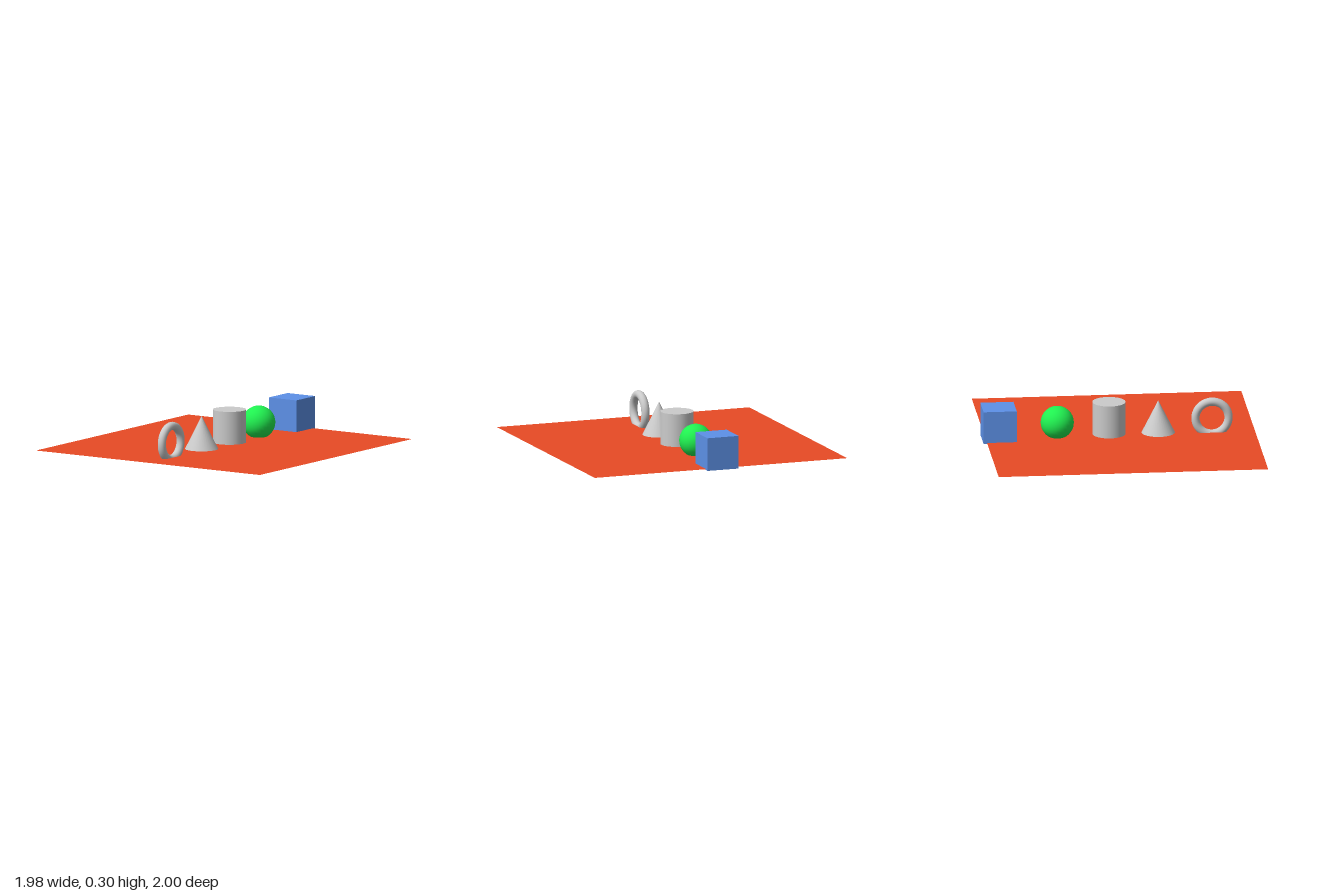
import * as THREE from 'three';

const U = 0.243;   // size of one basic solid
const X = -0.007;  // the row sits just off the centre line

export function createModel() {
  const model = new THREE.Group();

  const add = (name, geometry, y, z, color = 0xcccccc, x = X) => {
    const mesh = new THREE.Mesh(geometry, new THREE.MeshStandardMaterial({ color }));
    mesh.name = name;
    mesh.position.set(x, y, z);
    model.add(mesh);
    return mesh;
  };

  // Thin floor sheet, visible from both sides
  const floor = add('floor', new THREE.PlaneGeometry(1.975, 1.975), 0.045, 0.0125, 0xe84a25, 0);
  floor.rotation.x = -Math.PI / 2;
  floor.material.side = THREE.DoubleSide;

  // Row of solids from back to front; some dip slightly below the floor
  add('cube', new THREE.BoxGeometry(U, U, U), 0.158, -0.878, 0x5d91e8);
  add('sphere', new THREE.SphereGeometry(U / 2, 32, 16), 0.15, -0.448, 0x20f050);
  add('cylinder', new THREE.CylinderGeometry(U / 2, U / 2, U, 32), 0.174, -0.069);
  add('cone', new THREE.ConeGeometry(U / 2, U, 32), 0.174, 0.292);

  // Upright ring, its hole facing sideways
  const ring = add('ring', new THREE.TorusGeometry(U / 2, U / 8, 16, 48), 0.152, 0.686);
  ring.rotation.y = Math.PI / 2;

  return model;
}
